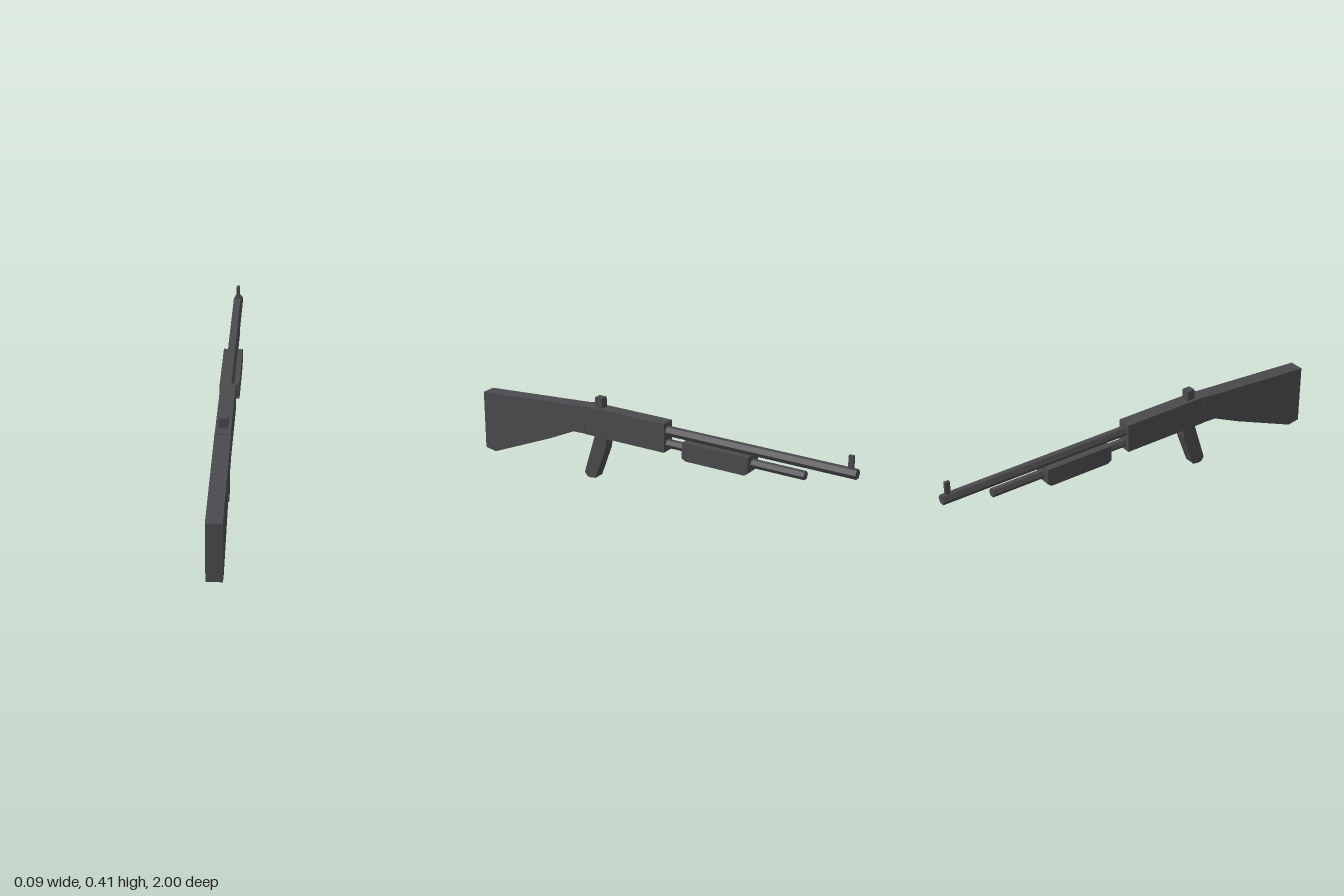
import * as THREE from 'three';

export function createModel() {
  const model = new THREE.Group();
  const gunmetal = new THREE.MeshStandardMaterial({ color: 0x4a494d, flatShading: true });
  gunmetal.name = 'gunmetal';

  const add = (name, geometry) => {
    const mesh = new THREE.Mesh(geometry, gunmetal);
    mesh.name = name;
    model.add(mesh);
  };

  // Side profile given as [z, y] points, extruded across x
  const slab = (name, width, points) => {
    const shape = new THREE.Shape(points.map(([z, y]) => new THREE.Vector2(-z, y)));
    const geometry = new THREE.ExtrudeGeometry(shape, { depth: width, bevelEnabled: false });
    add(name, geometry.translate(0, 0, -width / 2).rotateY(Math.PI / 2));
  };

  // Six-sided rod along z with corners at the sides
  const rod = (name, radius, y, z0, z1) => {
    const geometry = new THREE.CylinderGeometry(radius, radius, z0 - z1, 6, 1, false, Math.PI / 2);
    add(name, geometry.rotateX(Math.PI / 2).translate(0, y, (z0 + z1) / 2));
  };

  const box = (name, width, y0, y1, z0, z1) => {
    const geometry = new THREE.BoxGeometry(width, y1 - y0, z0 - z1);
    add(name, geometry.translate(0, (y0 + y1) / 2, (z0 + z1) / 2));
  };

  // Shoulder stock and body
  slab('stock', 0.072, [
    [1, 0.315], [0.395, 0.357], [0.395, 0.222], [0.46, 0.22],
    [0.6, 0.155], [0.94, 0.014], [1, 0.024],
  ]);
  box('receiver', 0.07, 0.22, 0.36, 0.395, -0.047);

  // Slanted hand grip
  slab('grip', 0.056, [
    [0.345, 0.24], [0.345, 0.215], [0.405, 0.022], [0.39, 0.003], [0.375, 0],
    [0.343, 0.004], [0.284, 0.163], [0.277, 0.215], [0.277, 0.24],
  ]);

  // Barrel and the tube beneath it
  rod('barrel', 0.024, 0.317, -0.04, -1);
  rod('magazineTube', 0.021, 0.256, -0.04, -0.755);

  // Sliding fore-end with chamfered lower ends
  slab('foreEnd', 0.092, [
    [-0.15, 0.296], [-0.15, 0.22], [-0.168, 0.208],
    [-0.475, 0.208], [-0.492, 0.22], [-0.492, 0.296],
  ]);

  // Sights
  box('rearSight', 0.04, 0.35, 0.409, 0.345, 0.305);
  box('frontSight', 0.016, 0.325, 0.398, -0.957, -0.98);

  return model;
}
